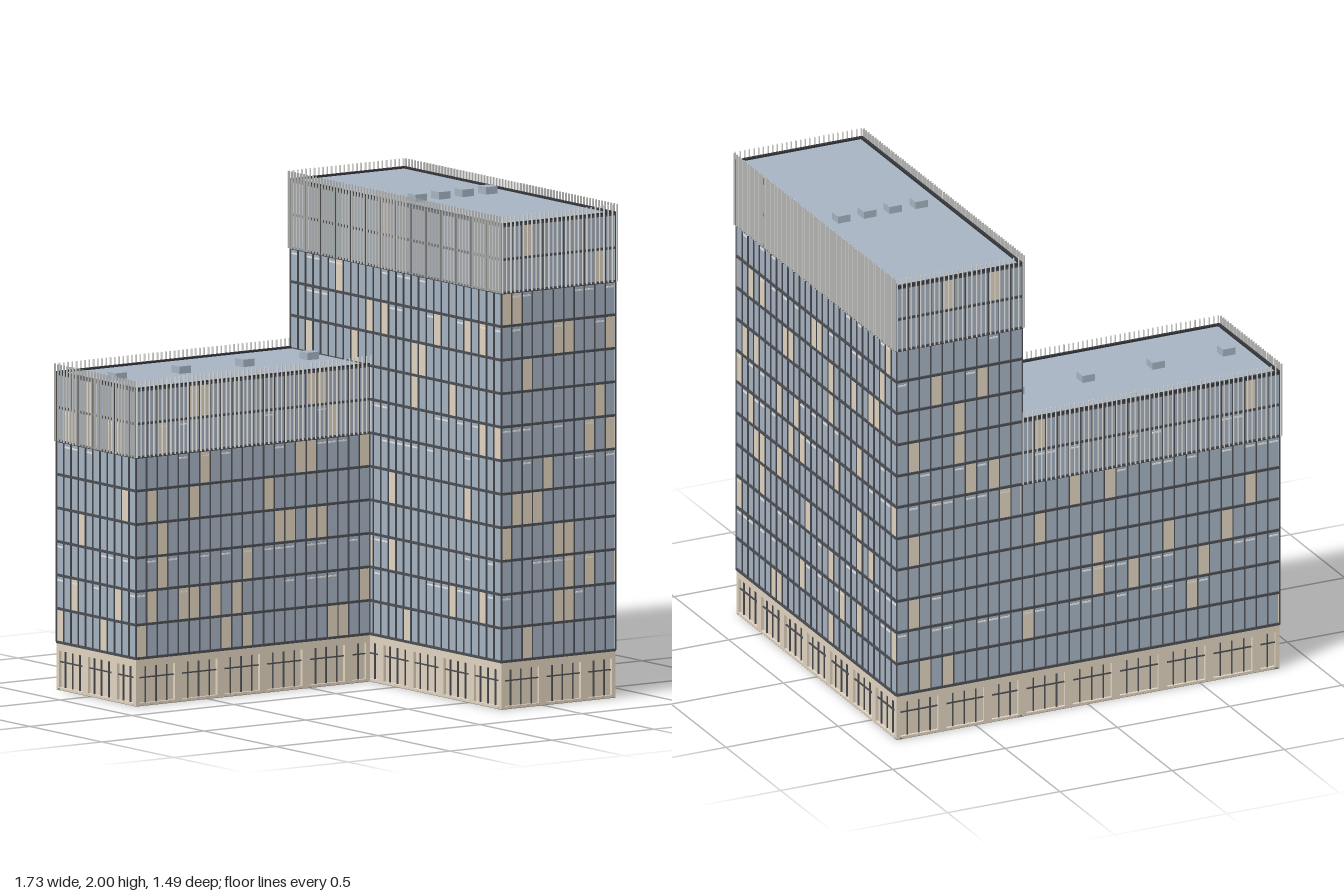
import * as THREE from 'three';
import { mergeGeometries } from 'three/addons/utils/BufferGeometryUtils.js';

const BASE = 0.194, FLOOR = 0.1358;

const mat = (name, color, side = THREE.FrontSide) => {
  const m = new THREE.MeshStandardMaterial({ color, side });
  m.name = name;
  return m;
};

// Box given by its minimum and maximum corners
function box(x0, x1, y0, y1, z0, z1) {
  return new THREE.BoxGeometry(x1 - x0, y1 - y0, z1 - z0)
    .translate((x0 + x1) / 2, (y0 + y1) / 2, (z0 + z1) / 2);
}

function seeded(seed) {
  let s = seed;
  return () => (s = (s * 16807) % 2147483647) / 2147483647;
}

// Lit window columns, one list per storey from the bottom up
const lowFront = [[0, 8, 10, 18, 19], [1, 4, 5, 7, 9, 21], [2, 10], [2, 13, 14, 16, 17],
  [1, 5, 12], [6, 15, 16, 21], [2, 18], [5, 6, 16, 17]];
const tallFront = [[2], [5, 6], [6, 8], [0, 5, 6], [1, 2, 3], [4], [8, 10], [9], [2],
  [5, 6, 10], [0, 1], [9], [2]];
const tallSide = [[6, 7, 16], [11, 18, 21, 27], [0, 16], [4, 12, 21, 23], [3, 4, 7, 21],
  [2, 9, 11, 17, 27], [0, 7, 10, 21], [1, 3, 16], [8, 9, 16, 20, 23, 24],
  [2, 4, 13, 14, 25], [26], [5], []];

function randomLit(floors, columns, seed) {
  const rnd = seeded(seed);
  for (let i = 0; i < 5; i++) rnd();
  return Array.from({ length: floors }, () =>
    Array.from({ length: columns }, (_, c) => c).filter(() => rnd() < 0.1));
}

export function createModel() {
  const model = new THREE.Group();
  model.name = 'officeBuilding';
  const glass = mat('blueGreyGlass', 0xa7b4c3, THREE.DoubleSide);
  const stone = mat('beigeStone', 0xe2d5c0, THREE.DoubleSide);
  const lit = mat('litWindow', 0xe2d5c0);
  const dark = mat('darkFrame', 0x4b4e53);
  const black = mat('parapetBlack', 0x34363a);
  const finLight = mat('finLightGrey', 0xd4d4d2);
  const lampWhite = mat('lampWhite', 0xffffff);
  const plinth = mat('plinthBrown', 0x8a8376);

  function add(parent, name, geos, material) {
    if (!geos.length) return;
    const mesh = new THREE.Mesh(geos.length > 1 ? mergeGeometries(geos) : geos[0], material);
    mesh.name = name;
    parent.add(mesh);
  }

  // One facade: runs along local x from 0 to len, faces local +z
  function wall(name, len, columns, floors, litColumns, seed) {
    const g = new THREE.Group();
    g.name = name;
    const w = len / columns, top = BASE + floors * FLOOR, rnd = seeded(seed);

    // Ground storey with recessed shopfront bays, four columns to a bay
    const face = new THREE.Shape([[0, 0.002], [len, 0.002], [len, BASE], [0, BASE]]
      .map(p => new THREE.Vector2(...p)));
    const frames = [];
    for (let c = 0; c < columns; c += 4) {
      const end = Math.min(c + 4, columns);
      const a = c * w + 0.018, b = end * w - 0.018;
      face.holes.push(new THREE.Path([[a, 0.012], [a, 0.16], [b, 0.16], [b, 0.012]]
        .map(p => new THREE.Vector2(...p))));
      frames.push(box(a, b, 0.112, 0.117, -0.012, -0.006));
      for (let k = c + 1; k < end; k++) {
        frames.push(box(k * w - 0.002, k * w + 0.002, 0.012, 0.16, -0.012, -0.006));
      }
    }
    add(g, 'baseWall', [new THREE.ExtrudeGeometry(face, { depth: 0.012, bevelEnabled: false })
      .translate(0, 0, -0.012)], stone);
    add(g, 'baseBackWall', [new THREE.PlaneGeometry(len, BASE)
      .translate(len / 2, BASE / 2, -0.013)], stone);
    add(g, 'shopfrontFrames', frames, dark);
    add(g, 'bottomRim', [box(0, len, 0, 0.008, -0.024, -0.001)], plinth);

    // Glass skin, lit windows and ceiling lamps
    add(g, 'glassWall', [new THREE.PlaneGeometry(len, top - BASE)
      .translate(len / 2, (top + BASE) / 2, -0.004)], glass);
    const litGeos = [], lamps = [];
    for (let f = 0; f < floors; f++) {
      const y = BASE + f * FLOOR;
      for (const c of litColumns[f]) {
        litGeos.push(box(c * w, (c + 1) * w, y, y + FLOOR, -0.006, -0.002));
      }
      if (![1, 2, 5, 6, 9, 10].includes(f)) continue;
      for (let c = 0; c < columns; c++) {
        if (rnd() < 0.35) {
          lamps.push(box((c + 0.12) * w, (c + 0.88) * w, y + FLOOR - 0.024, y + FLOOR - 0.018, -0.004, -0.001));
        }
      }
    }
    add(g, 'litWindows', litGeos, lit);
    add(g, 'ceilingLamps', lamps, lampWhite);

    // Floor bands, mullions and parapet
    const grid = [];
    for (let f = 0; f <= floors; f++) {
      const y = BASE + f * FLOOR;
      grid.push(box(0, len, y - 0.005, y + 0.005, -0.005, 0.003));
    }
    for (let c = 0; c <= columns; c++) {
      grid.push(box(c * w - 0.002, c * w + 0.002, BASE, top, -0.0035, 0.002));
    }
    add(g, 'windowGrid', grid, dark);
    add(g, 'parapet', [box(0, len, top, top + 0.01, -0.01, 0.003)], black);

    // Crown of thin upright fins over the top two storeys
    const fins = [], n = Math.round(len / 0.021);
    for (let i = 0; i <= n; i++) {
      const x = i * len / n;
      fins.push(box(x - 0.0012, x + 0.0012, top - 0.272, top + 0.0406, 0.003, 0.012));
    }
    add(g, 'crownFins', fins, finLight);
    return g;
  }

  // Block of facades with a flat roof and a row of roof vents
  function block(name, x0, x1, z0, z1, floors, sides, vents, ventZ) {
    const g = new THREE.Group();
    g.name = name;
    const place = {
      front: [x0, z1, 0, x1 - x0], right: [x1, z1, Math.PI / 2, z1 - z0],
      back: [x1, z0, Math.PI, x1 - x0], left: [x0, z0, -Math.PI / 2, z1 - z0],
    };
    for (const [side, columns, litColumns, seed] of sides) {
      const [x, z, turn, len] = place[side];
      const s = wall(side + 'Facade', len, columns, floors,
        litColumns || randomLit(floors, columns, seed), seed);
      s.position.set(x, 0, z);
      s.rotation.y = turn;
      g.add(s);
    }
    const top = BASE + floors * FLOOR;
    add(g, 'roof', [new THREE.PlaneGeometry(x1 - x0, z1 - z0).rotateX(-Math.PI / 2)
      .translate((x0 + x1) / 2, top + 0.002, (z0 + z1) / 2)], glass);
    add(g, 'roofVents', vents.map(x =>
      box(x - 0.028, x + 0.028, top, top + 0.032, ventZ - 0.028, ventZ + 0.028)), glass);
    model.add(g);
  }

  block('tallBlock', 0.293, 0.853, -0.733, 0.733, 13, [
    ['front', 11, tallFront, 1201], ['right', 28, tallSide, 3407],
    ['back', 11, null, 5113], ['left', 28, null, 7919],
  ], [0.398, 0.513, 0.628, 0.743], 0);

  block('lowBlock', -0.853, 0.293, -0.733, -0.18, 8, [
    ['front', 22, lowFront, 9241], ['back', 22, null, 11003], ['left', 11, null, 13007],
  ], [-0.75, -0.437, -0.125, 0.19], -0.455);

  return model;
}
